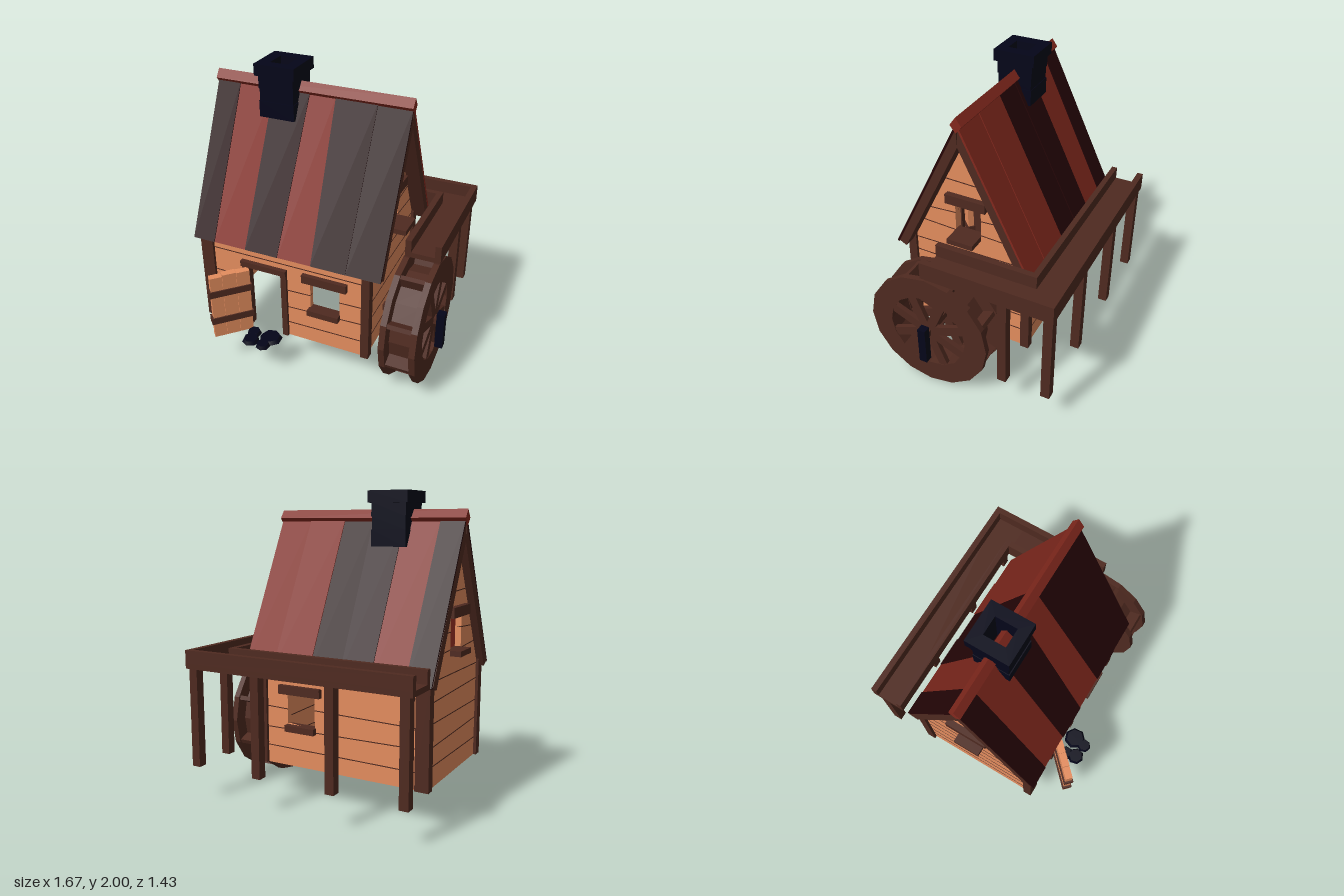
import * as THREE from 'three';

const mat = (name, color) => {
  const m = new THREE.MeshStandardMaterial({ color });
  m.name = name;
  return m;
};

export function createModel() {
  const plank = mat('plankWood', 0xe48d5e), wood = mat('darkWood', 0x4f2a20);
  const red = mat('redRoof', 0x84291e), maroon = mat('maroonRoof', 0x270507);
  const stone = mat('darkStone', 0x040519);
  const model = new THREE.Group();
  model.name = 'waterMill';

  const group = (name, parent = model) => {
    const g = new THREE.Group();
    g.name = name;
    parent.add(g);
    return g;
  };
  const add = (name, geo, m, parent = model) => {
    const mesh = new THREE.Mesh(geo, m);
    mesh.name = name;
    parent.add(mesh);
    return mesh;
  };
  // box given by its limits
  const box = (name, m, x0, x1, y0, y1, z0, z1, parent) => {
    const b = add(name, new THREE.BoxGeometry(x1 - x0, y1 - y0, z1 - z0), m, parent);
    b.position.set((x0 + x1) / 2, (y0 + y1) / 2, (z0 + z1) / 2);
    return b;
  };
  const toPoints = (list) => list.map(([a, b]) => new THREE.Vector2(a, b));
  const rect = (a0, a1, b0, b1) => [[a0, b0], [a1, b0], [a1, b1], [a0, b1]];
  const extrude = (outline, depth, holes = []) => {
    const s = new THREE.Shape(toPoints(outline));
    holes.forEach((h) => s.holes.push(new THREE.Path(toPoints(h))));
    return new THREE.ExtrudeGeometry(s, { depth, bevelEnabled: false });
  };
  // outline in (z, y) pushed along x
  const extrudeX = (outline, x0, x1, holes) =>
    extrude(outline, x1 - x0, holes).rotateY(-Math.PI / 2).translate(x1, 0, 0);
  const ngon = (n, r) => Array.from({ length: n }, (_, i) =>
    [r * Math.cos(i * 2 * Math.PI / n), r * Math.sin(i * 2 * Math.PI / n)]);

  // front and back walls, with dark seams that show on both faces
  const win = rect(0.005, 0.21, 0.51, 0.715);
  const frontSeams = [[-0.74, -0.48, 0.34, 0.335], [-0.74, -0.48, 0.485, 0.49], [-0.74, -0.48, 0.625, 0.62],
    [-0.17, 0.38, 0.34, 0.348], [-0.17, 0.38, 0.465, 0.485], [-0.17, 0.005, 0.6, 0.605], [0.21, 0.38, 0.61, 0.615],
    [-0.74, 0.38, 0.8, 0.795]];
  const backSeams = [[-0.74, 0.38, 0.34, 0.35], [-0.74, 0.38, 0.485, 0.475], [-0.74, 0.005, 0.61, 0.625],
    [0.21, 0.38, 0.61, 0.615], [-0.74, 0.38, 0.79, 0.8]];
  const seam = (a0, a1, b0, b1) => [[a0, b0 - 0.003], [a1, b1 - 0.003], [a1, b1 + 0.003], [a0, b0 + 0.003]];
  const longWall = (name, z, outline, seams) => {
    const g = group(name);
    add('planks', extrude(outline, 0.04, [win]).translate(0, 0, z - 0.02), plank, g);
    seams.forEach((s) => add('seam', extrude(seam(...s), 0.044).translate(0, 0, z - 0.022), wood, g));
  };
  longWall('frontWall', 0.45, [[-0.75, 0.23], [-0.45, 0.23], [-0.45, 0.72], [-0.2, 0.72], [-0.2, 0.23],
    [0.38, 0.23], [0.38, 0.92], [-0.75, 0.92]], frontSeams);
  longWall('backWall', -0.36, rect(-0.75, 0.38, 0.23, 0.92), backSeams);

  // gable walls
  const gable = [[-0.38, 0.23], [0.46, 0.23], [0.46, 0.92], [0.04, 1.78], [-0.38, 0.92]];
  const attic = rect(-0.05, 0.13, 1.0, 1.235);
  for (const [name, x] of [['leftGable', 0.38], ['rightGable', -0.75]]) {
    const g = group(name), side = Math.sign(x);
    add('planks', extrudeX(gable, x - 0.02, x + 0.02, [attic]), plank, g);
    [0.36, 0.49, 0.625, 0.765, 0.88, 1.03, 1.15, 1.39].forEach((y, i) => {
      const half = y < 0.92 ? 0.42 : 0.42 * (1.76 - y) / 0.86, tilt = i % 2 ? 0.006 : -0.006;
      const runs = y > 1 && y < 1.235
        ? [[0.04 - half, -0.05], [0.13, 0.04 + half]] : [[0.04 - half, 0.04 + half]];
      runs.forEach(([a, b]) =>
        add('seam', extrudeX(seam(a, b, y - tilt, y + tilt), x - 0.022, x + 0.022), wood, g));
    });
    const reach = (a, b) => [Math.min(x + side * a, x + side * b), Math.max(x + side * a, x + side * b)];
    box('atticLintel', wood, ...reach(0.01, 0.06), 1.235, 1.3, -0.1, 0.18, g);
    box('atticSill', wood, ...reach(-0.02, side > 0 ? 0.14 : 0.09), 0.995, 1.03, -0.05, 0.13, g);
  }

  // corner posts
  for (const [z0, z1] of [[0.43, 0.49], [-0.4, -0.34]]) {
    box('cornerPost', wood, -0.79, -0.7, 0.23, 0.9, z0, z1);
    box('cornerPost', wood, 0.365, 0.42, 0.23, 0.9, z0, z1);
  }
  // window trim, front and back
  for (const [z0, z1] of [[0.44, 0.5], [-0.41, -0.35]]) {
    box('windowLintel', wood, -0.045, 0.265, 0.712, 0.77, z0, z1);
    box('windowSill', wood, -0.005, 0.213, 0.468, 0.51, z0 - 0.01, z1 + 0.01);
  }

  // door frame and open door
  box('doorPost', wood, -0.2, -0.16, 0.23, 0.73, 0.42, 0.49);
  box('doorPost', wood, -0.485, -0.445, 0.23, 0.73, 0.42, 0.49);
  box('doorLintel', wood, -0.49, -0.16, 0.72, 0.76, 0.42, 0.5);
  const door = group('door');
  door.position.set(-0.43, 0, 0.5);
  door.rotation.y = Math.PI * 1.25;
  [[0, 0.088, 0.715], [0.09, 0.182, 0.72], [0.184, 0.265, 0.71]].forEach(([a, b, top]) =>
    box('doorPlank', plank, a, b, 0.235, top, -0.024, 0.024, door));
  for (const y of [0.345, 0.56]) box('doorStrap', wood, -0.01, 0.277, y, y + 0.048, -0.032, 0.032, door);

  // stepping stones
  [[-0.37, 0.63, 0.06], [-0.27, 0.645, 0.05], [-0.385, 0.555, 0.05], [-0.255, 0.56, 0.078]].forEach(([x, z, r], i) => {
    const s = add('steppingStone', new THREE.CylinderGeometry(r * 0.8, r, 0.025, 7), stone);
    s.position.set(x, 0.24, z);
    s.rotation.y = i;
  });

  // roof slopes: [left top, left bottom, right top, right bottom, material]
  const L = 1.096;
  const frontPanels = [[-0.82, -0.815, -0.66, -0.66, maroon], [-0.66, -0.66, -0.42, -0.43, red],
    [-0.42, -0.43, -0.17, -0.2, maroon], [-0.17, -0.2, 0.005, 0.035, red],
    [0.005, 0.035, 0.28, 0.27, maroon], [0.28, 0.27, 0.5, 0.5, maroon]];
  const backPanels = [[-0.82, -0.815, -0.66, -0.65, maroon], [-0.66, -0.65, -0.42, -0.42, red],
    [-0.42, -0.42, -0.2, -0.21, maroon], [-0.2, -0.21, 0.01, 0.01, maroon],
    [0.01, 0.01, 0.27, 0.28, red], [0.27, 0.28, 0.5, 0.5, red]];
  [[frontPanels, 1], [backPanels, -1]].forEach(([panels, side]) => {
    const turn = group(side > 0 ? 'frontRoof' : 'backRoof');
    turn.position.set(0, 1.86, 0.04);
    turn.rotation.y = side > 0 ? 0 : Math.PI;
    const slope = group('slope', turn);
    slope.rotation.x = -Math.atan2(0.485, 0.98);
    panels.forEach(([a, b, c, d, m], i) => {
      const pts = [[side * b, -L], [side * d, -L], [side * c, -0.035], [side * a, -0.035]];
      add('roofPanel', extrude(pts, 0.014).translate(0, 0, -0.014 - (i % 2) * 0.005), m, slope);
    });
    // rafters under the gable edges, mitred at the ridge
    const rafter = [[-0.075, -L + 0.01], [-0.013, -L + 0.01], [-0.013, -0.04], [-0.075, -0.15]];
    for (const [x0, x1] of [[0.4, 0.498], [-0.818, -0.76]]) {
      const e = [x0 * side, x1 * side].sort((p, q) => p - q);
      add('rafter', extrudeX(rafter, ...e), wood, slope);
    }
  });
  const ridge = [[0.04, 1.785], [0.078, 1.832], [0.04, 1.885], [0.002, 1.832]];
  add('ridgeCap', extrudeX(ridge, -0.828, 0.506), red);

  // hollow chimney in stone courses
  const chimney = group('chimney');
  const course = (x0, x1, z0, z1, y0, y1) => add('chimneyCourse',
    extrude(rect(x0, x1, -z1, -z0), y1 - y0, [rect(-0.41, -0.29, -0.11, 0.03)])
      .rotateX(-Math.PI / 2).translate(0, y0, 0), stone, chimney);
  course(-0.472, -0.233, -0.078, 0.162, 1.655, 1.76);
  course(-0.468, -0.238, -0.074, 0.156, 1.76, 1.84);
  course(-0.472, -0.235, -0.08, 0.16, 1.84, 1.93);
  course(-0.49, -0.217, -0.1, 0.178, 1.925, 2.0);

  // water channel on posts
  const channel = group('waterChannel');
  box('backFloor', wood, -0.82, 0.77, 0.88, 0.915, -0.71, -0.48, channel);
  box('sideFloor', wood, 0.535, 0.77, 0.88, 0.915, -0.48, 0.18, channel);
  box('outerBackWall', wood, -0.82, 0.77, 0.915, 1.0, -0.71, -0.67, channel);
  box('innerBackWall', wood, -0.82, 0.575, 0.915, 1.0, -0.515, -0.478, channel);
  box('outerSideWall', wood, 0.73, 0.77, 0.915, 1.0, -0.67, 0.18, channel);
  box('innerSideWall', wood, 0.535, 0.575, 0.915, 1.0, -0.48, 0.18, channel);
  [[0.72, -0.67], [0.24, -0.67], [-0.29, -0.67], [-0.77, -0.67], [0.72, -0.37]].forEach(([x, z]) =>
    box('channelPost', wood, x - 0.03, x + 0.03, 0.23, 0.88, z - 0.03, z + 0.03, channel));

  // water wheel, its axis along x
  const wheel = group('waterWheel');
  wheel.position.set(0.64, 0.43, 0.16);
  wheel.rotation.y = Math.PI / 2;
  for (const z of [-0.12, 0.08]) {
    add('rim', extrude(ngon(16, 0.428), 0.04, [ngon(16, 0.275)]).translate(0, 0, z), wood, wheel);
    for (let i = 0; i < 8; i++) {
      const s = add('spoke', new THREE.BoxGeometry(0.27, 0.064, 0.032).translate(0.155, 0, z + 0.02), wood, wheel);
      s.rotation.z = (i + 0.5) * Math.PI / 4;
    }
  }
  add('drum', extrude(ngon(16, 0.335), 0.16, [ngon(16, 0.28)]).translate(0, 0, -0.08), wood, wheel);
  for (let i = 0; i < 8; i++) {
    const p = add('paddle', new THREE.BoxGeometry(0.1, 0.03, 0.16).translate(0.365, 0, 0), wood, wheel);
    p.rotation.z = (i + 0.5) * Math.PI / 4;
  }
  box('axle', wood, 0.38, 0.79, 0.407, 0.453, 0.137, 0.183);
  box('crank', stone, 0.777, 0.83, 0.225, 0.495, 0.135, 0.19);
  return model;
}
